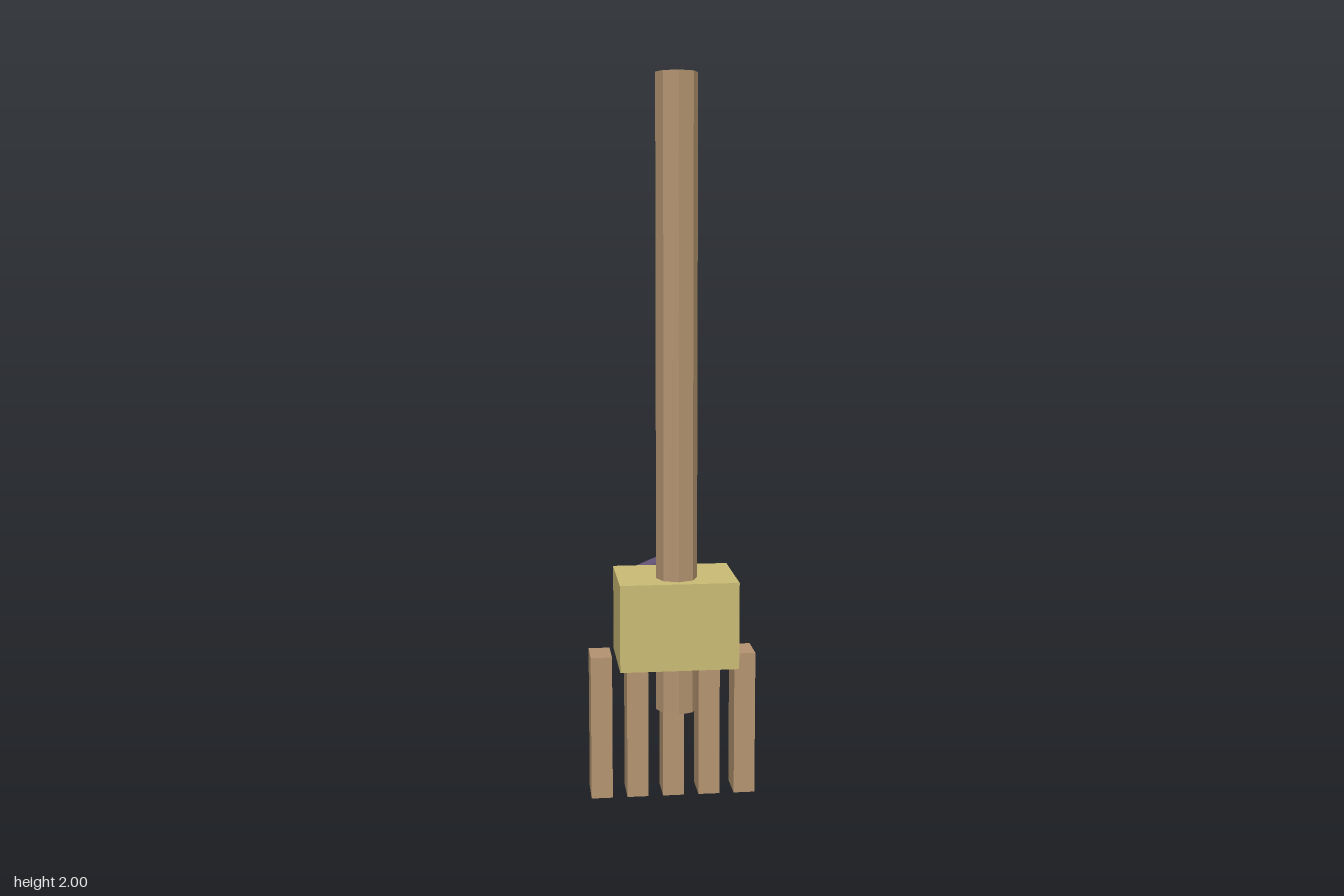
import * as THREE from 'three';

const material = (name, color) => {
  const m = new THREE.MeshStandardMaterial({ color, flatShading: true });
  m.name = name;
  return m;
};

export function createModel() {
  const wood = material('wood', 0xb39370);
  const straw = material('straw yellow', 0xc9ba74);
  const purple = material('purple', 0x665478);

  const model = new THREE.Group();
  model.name = 'rake';

  const add = (name, geometry, mat, x, y, z) => {
    const mesh = new THREE.Mesh(geometry, mat);
    mesh.name = name;
    mesh.position.set(x, y, z);
    model.add(mesh);
    return mesh;
  };

  // Octagonal handle, passing right through the head block
  add('handle', new THREE.CylinderGeometry(0.0565, 0.0565, 1.72, 8), wood, 0, 1.14, 0.075);

  // Head block
  add('headBlock', new THREE.BoxGeometry(0.324, 0.24, 0.245), straw, 0, 0.531, 0.0345);

  // Octagonal disc behind the head
  const disc = new THREE.CylinderGeometry(0.142, 0.142, 0.061, 8).rotateX(Math.PI / 2);
  add('backDisc', disc, purple, 0, 0.53, -0.1285);

  // Row of five tines
  const tine = new THREE.BoxGeometry(0.06, 0.41, 0.101);
  for (let i = -2; i <= 2; i++) add(`tine${i + 3}`, tine, wood, i * 0.1015, 0.205, -0.0475);

  return model;
}
